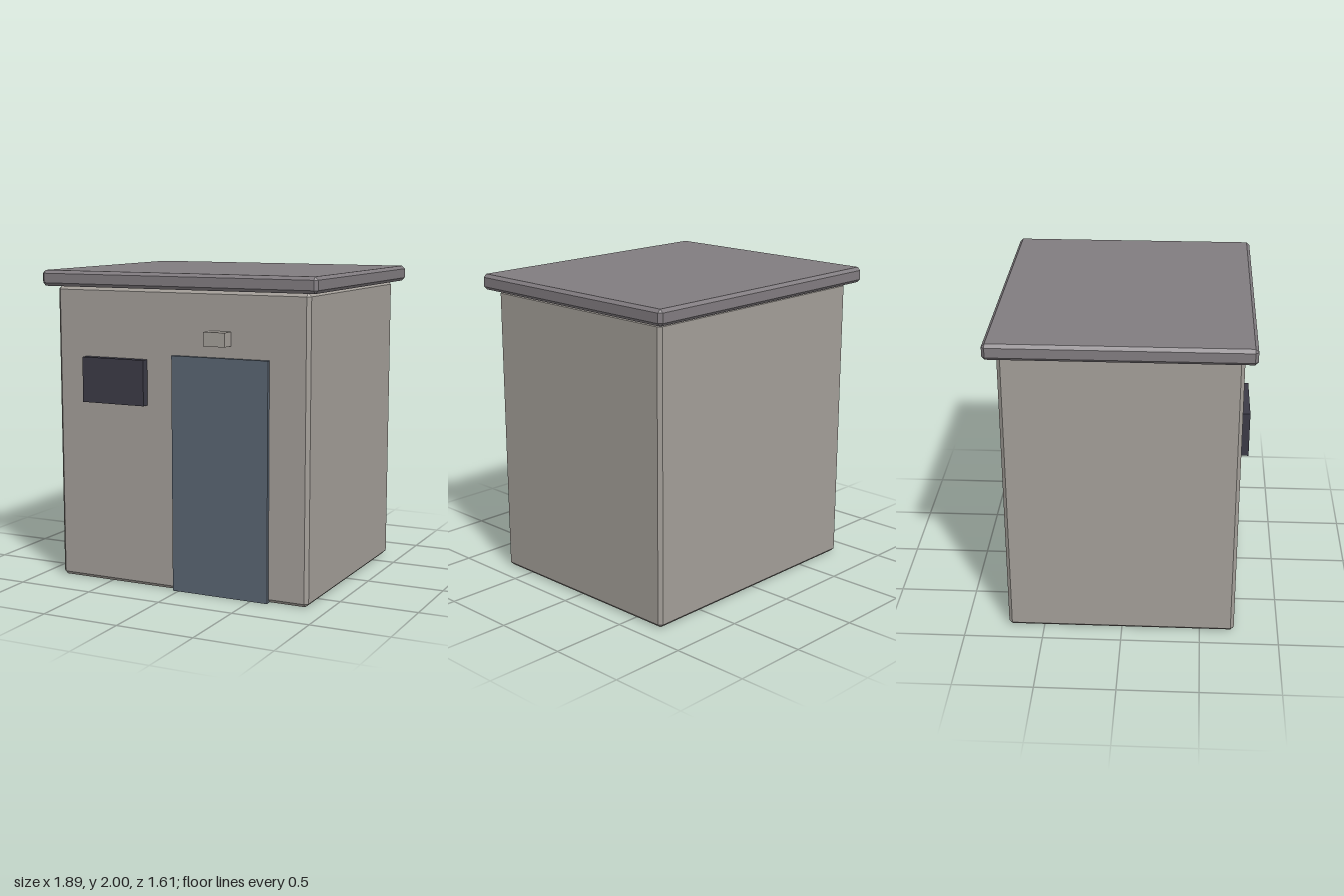
import * as THREE from 'three';
import { ConvexGeometry } from 'three/addons/geometries/ConvexGeometry.js';

const material = (name, color) => {
  const m = new THREE.MeshStandardMaterial({ color });
  m.name = name;
  return m;
};

// Box with every edge cut at 45 degrees
function chamferedBox(w, h, d, c) {
  const points = [];
  for (const x of [-1, 1]) for (const y of [-1, 1]) for (const z of [-1, 1]) {
    const X = w / 2, Y = h / 2, Z = d / 2;
    points.push(
      new THREE.Vector3(x * X, y * (Y - c), z * (Z - c)),
      new THREE.Vector3(x * (X - c), y * Y, z * (Z - c)),
      new THREE.Vector3(x * (X - c), y * (Y - c), z * Z)
    );
  }
  return new ConvexGeometry(points);
}

export function createModel() {
  const group = new THREE.Group();
  group.name = 'utilityHut';

  const concrete = material('concrete', 0xa39e98);
  const roofGrey = material('roofGrey', 0x817c80);
  const doorBlue = material('doorBlue', 0x596471);
  const darkGlass = material('darkGlass', 0x3b3a46);

  // Place a part by its extents, with an optional chamfer
  const addPart = (name, mat, [x0, x1], [y0, y1], [z0, z1], chamfer = 0) => {
    const size = [x1 - x0, y1 - y0, z1 - z0];
    const geometry = chamfer ? chamferedBox(...size, chamfer) : new THREE.BoxGeometry(...size);
    const mesh = new THREE.Mesh(geometry, mat);
    mesh.name = name;
    mesh.position.set((x0 + x1) / 2, (y0 + y1) / 2, (z0 + z1) / 2);
    group.add(mesh);
  };

  // Hut body and overhanging roof slab
  addPart('walls', concrete, [-0.872, 0.872], [0, 1.9], [-0.73, 0.72], 0.022);
  addPart('roof', roofGrey, [-0.943, 0.943], [1.9, 2], [-0.805, 0.793], 0.02);

  // Front fittings, set slightly into the wall
  addPart('door', doorBlue, [-0.037, 0.614], [0, 1.493], [0.69, 0.743]);
  addPart('window', darkGlass, [-0.66, -0.22], [1.17, 1.458], [0.69, 0.773]);
  addPart('doorLamp', concrete, [0.215, 0.36], [1.568, 1.655], [0.69, 0.808]);

  return group;
}
